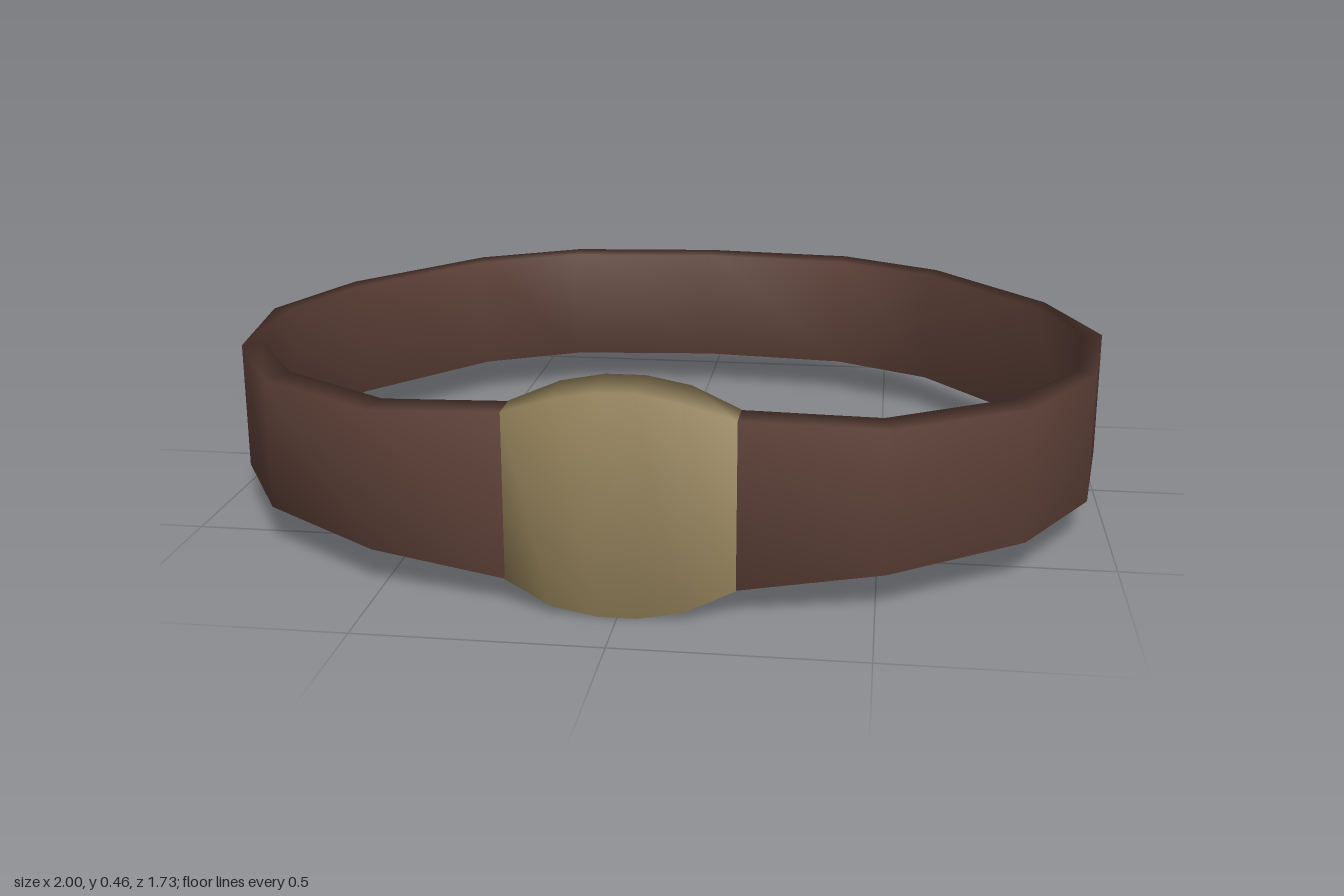
import * as THREE from 'three';

const MID_Y = 0.23;

// Lofts a four-cornered section along stations [outerX, outerZ, innerX, innerZ, halfHeight].
function loft(stations) {
  const positions = [];
  const index = [];
  for (const [ox, oz, ix, iz, h] of stations) {
    positions.push(ox, MID_Y + h, oz, ox, MID_Y - h, oz, ix, MID_Y - h, iz, ix, MID_Y + h, iz);
  }
  for (let s = 0; s < stations.length - 1; s++) {
    for (let k = 0; k < 4; k++) {
      const a = s * 4 + k;
      const b = s * 4 + (k + 1) % 4;
      index.push(a, b, b + 4, a, b + 4, a + 4);
    }
  }
  const geometry = new THREE.BufferGeometry();
  geometry.setAttribute('position', new THREE.Float32BufferAttribute(positions, 3));
  geometry.setIndex(index);
  geometry.computeVertexNormals();
  return geometry;
}

const mirror = ([ox, oz, ix, iz, h]) => [-ox, oz, -ix, iz, h];

export function createModel() {
  const leather = new THREE.MeshStandardMaterial({ color: 0x5d4037, side: THREE.DoubleSide });
  leather.name = 'brown leather';
  const brass = new THREE.MeshStandardMaterial({ color: 0x94825a, side: THREE.DoubleSide });
  brass.name = 'dull brass';

  // Strap: left half from the buckle to the back, then mirrored
  const half = [
    [0.23, 0.83, 0.23, 0.755, 0.173],
    [0.52, 0.772, 0.505, 0.695, 0.149],
    [0.80, 0.578, 0.765, 0.51, 0.143],
    [0.95, 0.315, 0.915, 0.28, 0.143],
    [1.0, -0.03, 0.955, -0.02, 0.143],
    [0.893, -0.34, 0.862, -0.29, 0.143],
    [0.63, -0.68, 0.61, -0.615, 0.143],
    [0.38, -0.825, 0.37, -0.745, 0.143],
  ];
  const back = [0, -0.863, 0, -0.783, 0.143];
  const strap = new THREE.Mesh(loft([...half, back, ...half.map(mirror).reverse()]), leather);
  strap.name = 'strap';

  // Buckle: thicker plate with bowed top and bottom edges
  const side = [
    [0.04, 0.863, 0.04, 0.73, 0.229],
    [0.13, 0.863, 0.13, 0.73, 0.212],
    [0.23, 0.831, 0.23, 0.754, 0.174],
  ];
  const buckle = new THREE.Mesh(loft([...side.map(mirror).reverse(), ...side]), brass);
  buckle.name = 'buckle';

  const belt = new THREE.Group();
  belt.name = 'belt';
  belt.add(strap, buckle);
  return belt;
}
